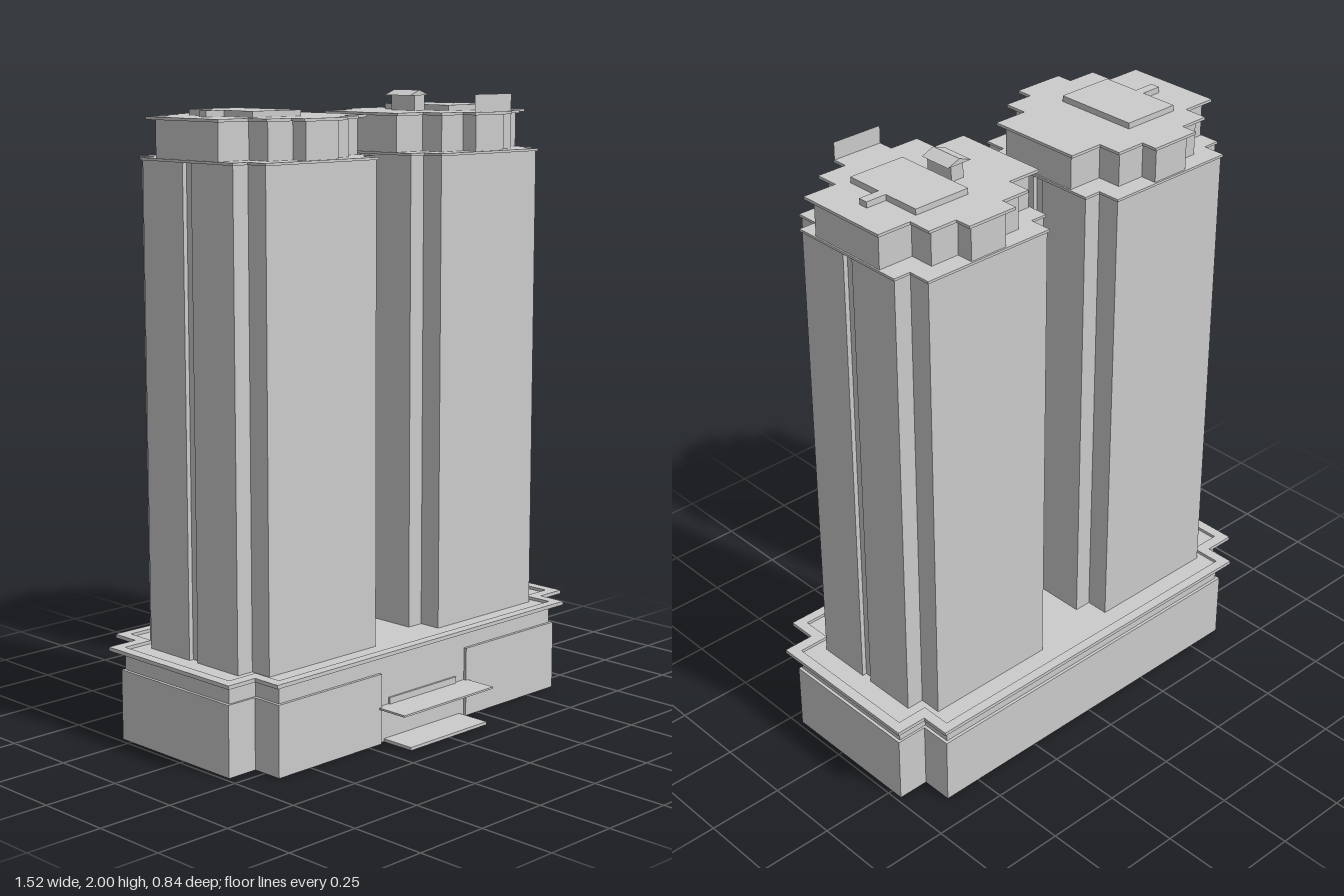
import * as THREE from 'three';

const material = new THREE.MeshStandardMaterial({ color: 0xcccccc, flatShading: true });
const thin = new THREE.MeshStandardMaterial({ color: 0xcccccc, flatShading: true, side: THREE.DoubleSide });
const CENTRE_Z = -0.0425; // shared centre line of the towers and podium

// Stepped outline, mirrored in both axes. steps: [halfX, halfZ], widest first.
function outline(steps, groove = 0) {
  const q = groove ? [[steps[0][0] - groove, 0.019], [steps[0][0], 0.019]] : [];
  steps.forEach(([x, z], i) => {
    q.push([x, z]);
    if (i < steps.length - 1) q.push([steps[i + 1][0], z]);
  });
  const back = [...q].reverse();
  return [
    ...q,
    ...back.map(([x, z]) => [-x, z]),
    ...q.map(([x, z]) => [-x, -z]),
    ...back.map(([x, z]) => [x, -z]),
  ].map(([x, z]) => new THREE.Vector2(x, z));
}

const grow = (steps, d) => steps.map(([x, z]) => [x + d, z + d]);

function add(parent, name, geometry, mat = material) {
  const mesh = new THREE.Mesh(geometry, mat);
  mesh.name = name;
  parent.add(mesh);
  return mesh;
}

// Upright prism of a plan outline between two heights
function prism(parent, name, points, y0, y1, hole) {
  const shape = new THREE.Shape(points);
  if (hole) shape.holes.push(new THREE.Path(hole));
  const g = new THREE.ExtrudeGeometry(shape, { depth: y1 - y0, bevelEnabled: false });
  g.rotateX(Math.PI / 2).translate(0, y1, 0);
  return add(parent, name, g);
}

function box(parent, name, x0, x1, y0, y1, z0, z1) {
  const g = new THREE.BoxGeometry(x1 - x0, y1 - y0, z1 - z0);
  g.translate((x0 + x1) / 2, (y0 + y1) / 2, (z0 + z1) / 2);
  return add(parent, name, g);
}

function createPodium() {
  const podium = new THREE.Group();
  podium.name = 'podium';
  const lower = [[0.735, 0.25], [0.63, 0.355]];
  const upper = [[0.725, 0.2425], [0.62, 0.345]];
  const cornice = [[0.76, 0.28], [0.655, 0.378]];

  // Hollow lower wall, open at the entrance
  const gap = 0.195, t = 0.01, front = lower[1][1];
  const loop = (steps) => {
    const p = outline(steps), n = p.length / 4;
    return [...p.slice(n), ...p.slice(0, n)];
  };
  prism(podium, 'lowerWall', [
    new THREE.Vector2(-gap, front), ...loop(lower), new THREE.Vector2(gap, front),
    new THREE.Vector2(gap, front - t), ...loop(grow(lower, -t)).reverse(), new THREE.Vector2(-gap, front - t),
  ], 0, 0.226);
  prism(podium, 'upperStorey', outline(upper), 0.225, 0.288);
  prism(podium, 'cornice', outline(cornice), 0.286, 0.298, outline(upper));

  // Entrance
  box(podium, 'entranceWall', -gap, gap, 0, 0.226, 0.335, 0.345);
  box(podium, 'doorHead', -0.155, 0.15, 0.115, 0.14, 0.34, 0.352);
  box(podium, 'canopy', -0.205, 0.205, 0.113, 0.119, 0.34, 0.4625);
  box(podium, 'entranceStep', -0.175, 0.175, 0, 0.01, 0.34, 0.4625);
  return podium;
}

// side: +1 or -1, the direction of the outer side of the tower
function createTower(side) {
  const tower = new THREE.Group();
  tower.name = side > 0 ? 'leftTower' : 'rightTower';
  tower.position.x = side * 0.37;
  const plan = [[0.284, 0.2025], [0.226, 0.278]];
  prism(tower, 'shaft', outline(plan, 0.015), 0.285, 1.805);
  prism(tower, 'ledge', outline(grow(plan, 0.005)), 1.803, 1.811);
  prism(tower, 'crown', outline([[0.284, 0.14], [0.165, 0.222], [0.066, 0.277]]), 1.81, 1.926);
  prism(tower, 'roofSlab', outline([[0.3025, 0.162], [0.187, 0.24], [0.087, 0.294]]), 1.925, 1.934);

  // Plant room and its duct toward the outer side
  const span = (a, b) => (side > 0 ? [a, b] : [-b, -a]);
  box(tower, 'plantRoom', ...span(-0.045, 0.15), 1.933, 1.953, -0.143, 0.14);
  box(tower, 'duct', ...span(0.149, 0.22), 1.933, 1.953, -0.016, 0.016);
  return tower;
}

// Gabled stair hut and sign panel on one roof
function addRoofDetails(tower) {
  box(tower, 'stairHut', -0.108, -0.062, 1.933, 1.986, -0.053, 0.05);
  const gable = new THREE.Shape([
    new THREE.Vector2(-0.135, 1.983), new THREE.Vector2(-0.046, 1.983), new THREE.Vector2(-0.09, 2),
  ]);
  const roof = new THREE.ExtrudeGeometry(gable, { depth: 0.112, bevelEnabled: false });
  add(tower, 'stairHutRoof', roof.translate(0, 0, -0.057));
  const panel = new THREE.PlaneGeometry(0.174, 0.056);
  add(tower, 'roofPanel', panel.translate(0, 1.962, 0.29), thin);
}

export function createModel() {
  const model = new THREE.Group();
  model.name = 'twinTowerBuilding';
  const building = new THREE.Group();
  building.name = 'building';
  building.position.z = CENTRE_Z;
  const left = createTower(1);
  addRoofDetails(left);
  building.add(createPodium(), left, createTower(-1));
  model.add(building);
  return model;
}
